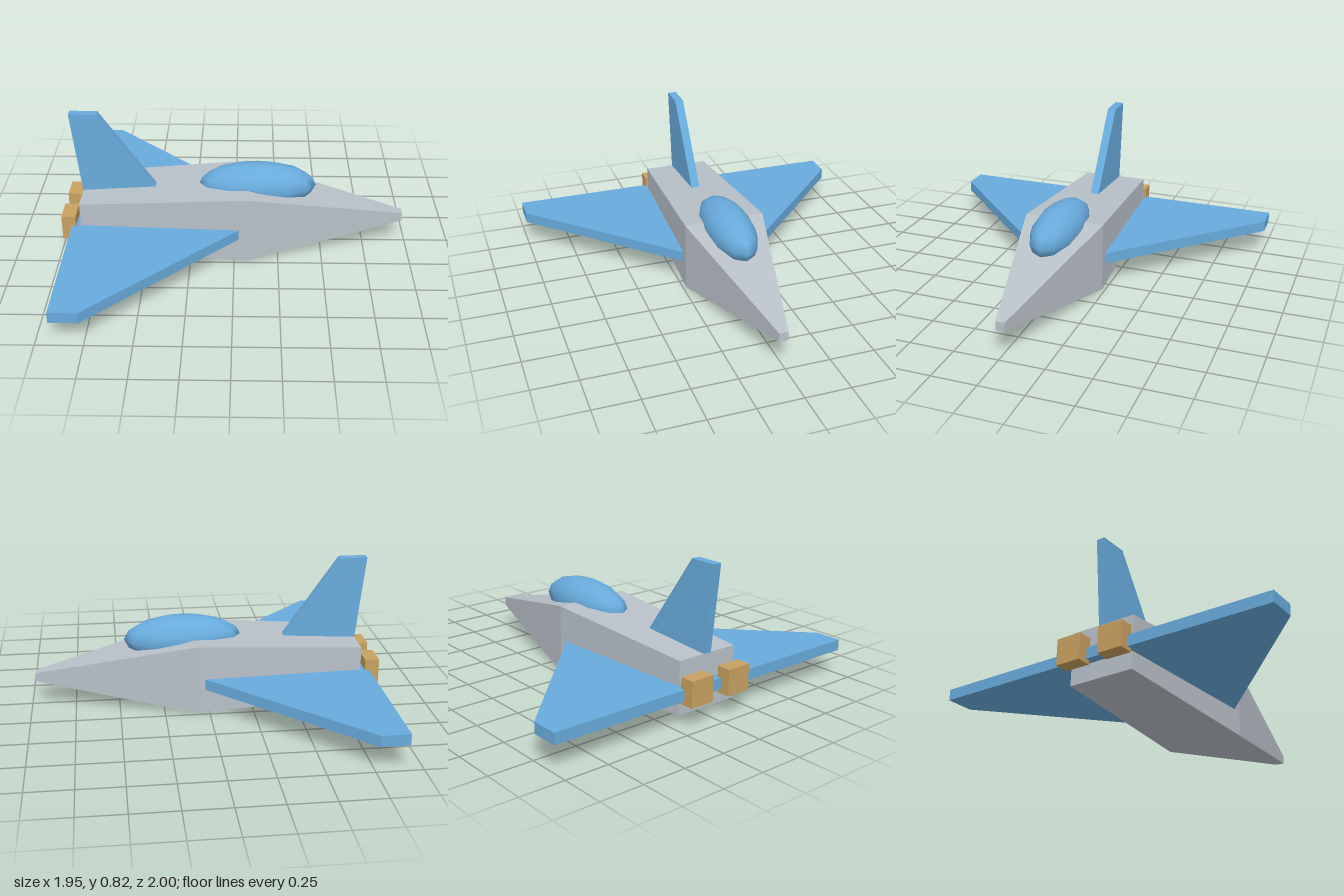
import * as THREE from 'three';

const paint = (name, color) => {
  const m = new THREE.MeshStandardMaterial({ color });
  m.name = name;
  return m;
};

export function createModel() {
  const grey = paint('hull grey', 0xb8c0c8);
  const blue = paint('wing blue', 0x68abdc);
  const bronze = paint('engine bronze', 0xc8a060);

  const model = new THREE.Group();
  model.name = 'jet';
  const add = (name, geometry, material) => {
    const mesh = new THREE.Mesh(geometry, material);
    mesh.name = name;
    model.add(mesh);
    return mesh;
  };

  // Flat plate cut from an outline, centred on its thickness
  const plate = (points, thickness) => {
    const shape = new THREE.Shape(points.map(([x, y]) => new THREE.Vector2(x, y)));
    return new THREE.ExtrudeGeometry(shape, { depth: thickness, bevelEnabled: false })
      .translate(0, 0, -thickness / 2);
  };

  // Fuselage: a box with three cross-sections (tail, shoulder, nose)
  const sections = [
    { x: -0.87, low: 0.045, high: 0.34, half: 0.19 },
    { x: 0.075, low: 0, high: 0.4, half: 0.232 },
    { x: 0.97, low: 0.15, high: 0.2, half: 0.025 },
  ];
  const hull = new THREE.BoxGeometry(2, 2, 2, 2, 1, 1).toNonIndexed();
  const p = hull.attributes.position;
  for (let i = 0; i < p.count; i++) {
    const s = sections[Math.round(p.getX(i)) + 1];
    p.setXYZ(i, s.x, p.getY(i) > 0 ? s.high : s.low, p.getZ(i) * s.half);
  }
  hull.computeVertexNormals();
  add('fuselage', hull, grey);

  // Wings: one delta plate passing through the fuselage
  const wings = plate([
    [-0.92, -1], [-0.765, -1], [0.26, 0], [-0.765, 1], [-0.92, 1],
  ], 0.062);
  add('wings', wings.rotateX(-Math.PI / 2), blue).position.y = 0.173;

  // Upright tail fin, its root sunk into the hull
  add('tailFin', plate([
    [-0.867, 0.31], [-0.412, 0.31], [-0.765, 0.82], [-0.92, 0.82],
  ], 0.05), blue);

  // Canopy: a stretched low-poly dome
  const canopy = add('canopy', new THREE.SphereGeometry(1, 12, 8), blue);
  canopy.scale.set(0.335, 0.133, 0.135);
  canopy.position.set(0.13, 0.375, 0);

  // Twin engine blocks
  for (const side of [-1, 1]) {
    add(side > 0 ? 'engineFront' : 'engineBack', new THREE.BoxGeometry(0.08, 0.145, 0.145), bronze)
      .position.set(-0.935, 0.193, side * 0.128);
  }

  return model;
}
